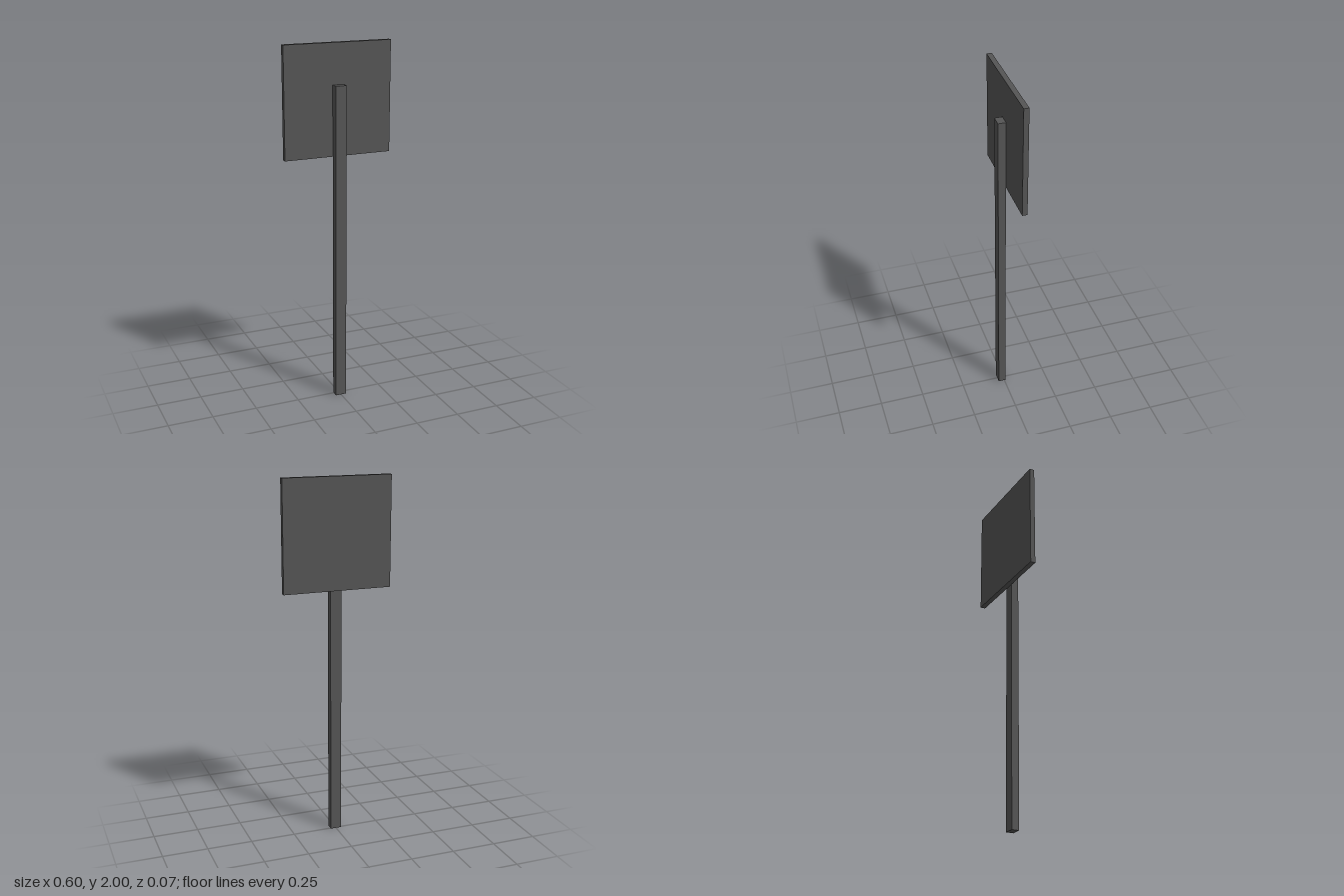
import * as THREE from 'three';

export function createModel() {
  const group = new THREE.Group();
  const material = new THREE.MeshStandardMaterial({ color: 0x555555 });

  // Adds a box given by its minimum and maximum corners
  const addBox = (name, min, max) => {
    const size = max.map((v, i) => v - min[i]);
    const mesh = new THREE.Mesh(new THREE.BoxGeometry(...size), material);
    mesh.position.set(...max.map((v, i) => (v + min[i]) / 2));
    mesh.name = name;
    group.add(mesh);
  };

  // Square post standing on the ground
  addBox('post', [-0.031, 0, -0.007], [0.031, 1.78, 0.035]);

  // Flat square board fixed behind the top of the post
  addBox('signBoard', [-0.302, 1.397, -0.035], [0.302, 2, -0.007]);

  return group;
}
